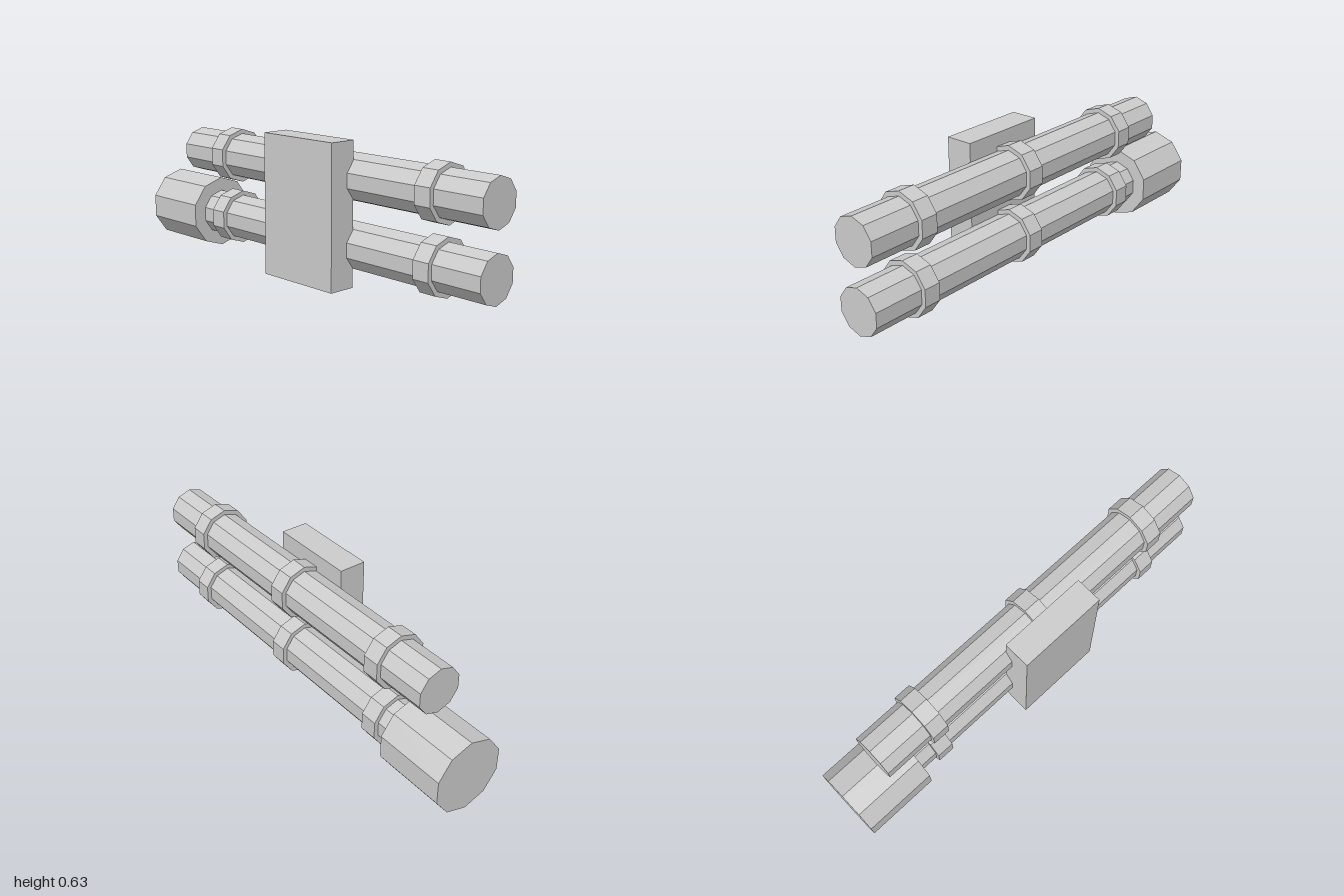
import * as THREE from 'three';

const AXIS_X = 0.014;
const SIDES = 10;

export function createModel() {
  const model = new THREE.Group();
  const material = new THREE.MeshStandardMaterial({ color: 0xcccccc, flatShading: true });

  // Ten-sided prism along z, with a corner pointing straight up
  function addPrism(parent, name, radius, y, zFront, zBack) {
    const geometry = new THREE.CylinderGeometry(radius, radius, zFront - zBack, SIDES);
    geometry.rotateX(-Math.PI / 2);
    const mesh = new THREE.Mesh(geometry, material);
    mesh.name = name;
    mesh.position.set(AXIS_X, y, (zFront + zBack) / 2);
    parent.add(mesh);
  }

  // Tube with three raised bands
  function addTube(name, y, zBack) {
    const group = new THREE.Group();
    group.name = name;
    addPrism(group, 'tube', 0.105, y, 1, zBack);
    for (const z of [0.724, 0.094, -0.539]) {
      addPrism(group, 'band', 0.126, y, z + 0.04, z - 0.04);
    }
    model.add(group);
  }

  addTube('upperTube', 0.465, -0.808);
  addTube('lowerTube', 0.169, -0.7);

  // Wide housing at the rear of the lower tube
  addPrism(model, 'rearHousing', 0.168, 0.169, -0.666, -1);

  // Side block joining both tubes
  const block = new THREE.Mesh(new THREE.BoxGeometry(0.125, 0.632, 0.418), material);
  block.name = 'mountingBlock';
  block.position.set(-0.1125, 0.316, 0.092);
  model.add(block);

  return model;
}
